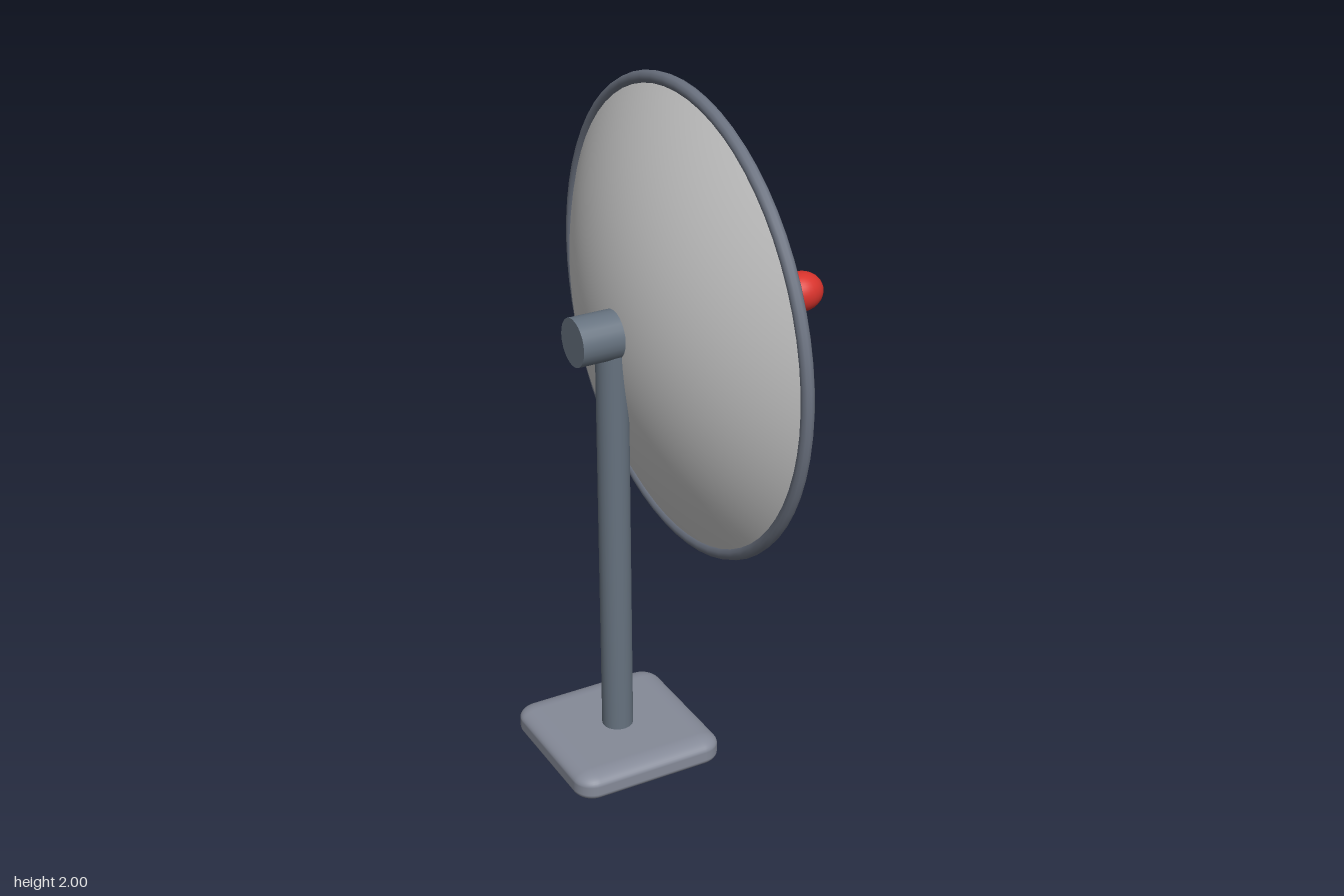
import * as THREE from 'three';
import { RoundedBoxGeometry } from 'three/addons/geometries/RoundedBoxGeometry.js';

const AXIS_Y = 1.33; // height of the dish axis
const MAST_X = -0.215;

const material = (color, side = THREE.FrontSide) =>
  new THREE.MeshStandardMaterial({ color, side });

function addPart(parent, name, geometry, mat, x = 0, y = 0, z = 0) {
  const mesh = new THREE.Mesh(geometry, mat);
  mesh.name = name;
  mesh.position.set(x, y, z);
  parent.add(mesh);
  return mesh;
}

// Round bar between two points
function addBar(parent, name, from, to, radius, mat) {
  const dir = to.clone().sub(from);
  const mesh = addPart(parent, name, new THREE.CylinderGeometry(radius, radius, dir.length(), 12), mat);
  mesh.position.copy(from).addScaledVector(dir, 0.5);
  mesh.quaternion.setFromUnitVectors(new THREE.Vector3(0, 1, 0), dir.normalize());
  return mesh;
}

export function createModel() {
  const model = new THREE.Group();
  model.name = 'satelliteDish';

  const steel = material(0x66727f);
  const baseGrey = material(0x858a98);
  const rimGrey = material(0x6b7280);
  const strutGrey = material(0x71757f);
  const white = material(0xe4e4e4, THREE.DoubleSide);
  const red = material(0xd8332c);

  // Base slab: rounded box flattened so its edges are shallower than its corners
  const slab = new RoundedBoxGeometry(0.456, 0.17, 0.456, 5, 0.06);
  slab.scale(1, 0.5, 1);
  addPart(model, 'base', slab, baseGrey, MAST_X, 0.0525);

  // Mast passes through the base and up to the hub
  addPart(model, 'mast', new THREE.CylinderGeometry(0.045, 0.045, 1.32, 24), steel, MAST_X, 0.66);

  // Hub lying along the dish axis
  const hub = new THREE.CylinderGeometry(0.068, 0.068, 0.15, 24);
  hub.rotateZ(Math.PI / 2);
  addPart(model, 'hub', hub, steel, -0.255, AXIS_Y);

  // Head group: everything centred on the dish axis
  const head = new THREE.Group();
  head.name = 'head';
  head.position.y = AXIS_Y;
  model.add(head);

  // Parabolic reflector, opening towards +x
  const profile = [];
  for (let i = 0; i <= 20; i++) {
    const t = i / 20;
    profile.push(new THREE.Vector2(0.65 * t, -0.21 + 0.2 * t * t));
  }
  const bowl = new THREE.LatheGeometry(profile, 64);
  bowl.rotateZ(-Math.PI / 2);
  addPart(head, 'reflector', bowl, white);

  // Rim
  const rim = new THREE.TorusGeometry(0.652, 0.018, 10, 64);
  rim.rotateY(Math.PI / 2);
  addPart(head, 'rim', rim, rimGrey, -0.008);

  // Feed horn, stretched along the axis
  const feed = new THREE.SphereGeometry(0.057, 28, 20);
  feed.scale(1.18, 1, 1);
  addPart(head, 'feed', feed, red, 0.373);

  // Three struts carrying the feed
  const tip = new THREE.Vector3(0.373, 0, 0);
  for (let i = 0; i < 3; i++) {
    const a = -Math.PI / 2 + (i * 2 * Math.PI) / 3;
    const foot = new THREE.Vector3(-0.02, 0.52 * Math.sin(a), 0.52 * Math.cos(a));
    addBar(head, 'strut', foot, tip, 0.013, strutGrey);
  }

  return model;
}
